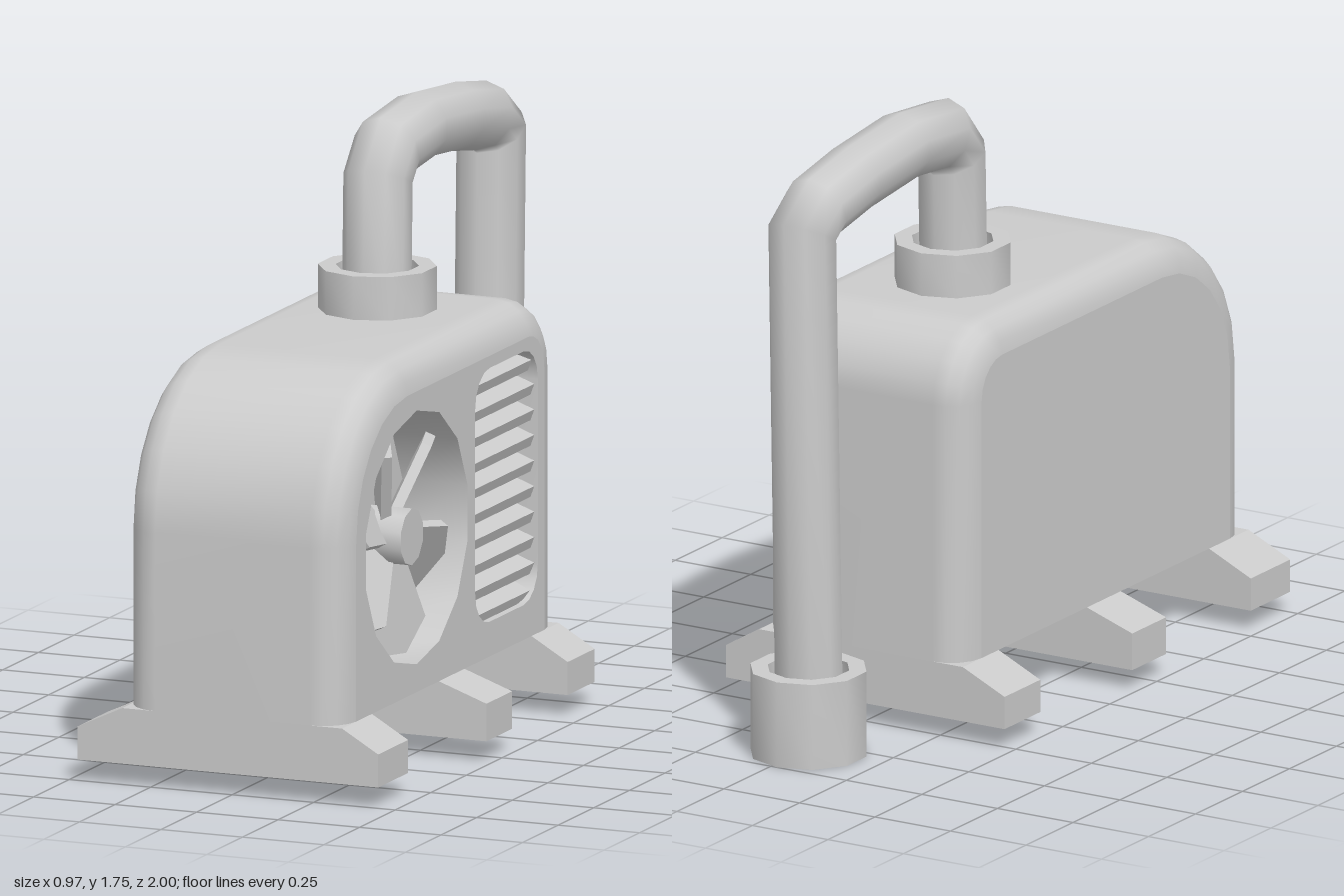
import * as THREE from 'three';
import { toCreasedNormals } from 'three/addons/utils/BufferGeometryUtils.js';

const W = 0.337;        // half width of the housing
const BEVEL = 0.1;
const BASE = 0.22;      // underside of the housing
const mat = new THREE.MeshStandardMaterial({ color: 0xcccccc });
const matDouble = new THREE.MeshStandardMaterial({ color: 0xcccccc, side: THREE.DoubleSide });

function add(parent, name, geometry, material = mat) {
  const mesh = new THREE.Mesh(geometry, material);
  mesh.name = name;
  parent.add(mesh);
  return mesh;
}

// Elliptical arc as 2D points, angles in degrees
function arc(cx, cy, rx, ry, from, to, n) {
  return Array.from({ length: n + 1 }, (_, i) => {
    const a = THREE.MathUtils.degToRad(from + (to - from) * i / n);
    return new THREE.Vector2(cx + rx * Math.cos(a), cy + ry * Math.sin(a));
  });
}

// Skin over a list of rings of Vector3
function loft(rings, closed) {
  const n = rings[0].length, index = [];
  for (let i = 0; i < rings.length - 1; i++) {
    for (let j = 0; j < (closed ? n : n - 1); j++) {
      const k = (j + 1) % n;
      const a = i * n + j, b = i * n + k, c = b + n, d = a + n;
      index.push(a, b, d, b, c, d);
    }
  }
  const g = new THREE.BufferGeometry().setFromPoints(rings.flat());
  g.setIndex(index);
  g.computeVertexNormals();
  return g;
}

// Side outline of the housing in (z, y), inset by d
function outline(d) {
  return [
    new THREE.Vector2(1 - d, BASE),
    ...arc(0.54, 0.73, 0.46 - d, 0.455 - d, 0, 90, 6),
    ...arc(-0.31, 0.975, 0.21 - d, 0.21 - d, 90, 180, 5),
    new THREE.Vector2(-0.52 + d, BASE),
  ];
}

function addHousing(group) {
  const housing = new THREE.Group();
  housing.name = 'housing';
  group.add(housing);

  // Rounded shell from the left side over to the right side
  const half = [0, 1, 2, 3, 4].map(i => {
    const a = i / 4 * Math.PI / 2;
    return [W - BEVEL + BEVEL * Math.cos(a), BEVEL * (1 - Math.sin(a))];
  });
  const steps = [...half, ...half.map(([x, d]) => [-x, d]).reverse()];
  const rings = steps.map(([x, d]) => outline(d).map(p => new THREE.Vector3(x, p.y, p.x)));
  add(housing, 'shell', loft(rings, false));

  // Underside
  const under = new THREE.Shape();
  steps.forEach(([x, d]) => under.lineTo(x, 1 - d));
  [...steps].reverse().forEach(([x, d]) => under.lineTo(x, -0.52 + d));
  under.curves.shift();
  add(housing, 'underside', new THREE.ShapeGeometry(under).rotateX(Math.PI / 2).translate(0, BASE, 0));

  // Plain side
  add(housing, 'plainSide',
    new THREE.ShapeGeometry(new THREE.Shape(outline(BEVEL))).rotateY(-Math.PI / 2).translate(-W, 0, 0));

  // Side with fan and vent: local x runs backwards, local z points outwards
  const side = new THREE.Group();
  side.name = 'machineSide';
  side.rotation.y = Math.PI / 2;
  side.position.x = W;
  housing.add(side);
  const fanHole = arc(-0.475, 0.665, 0.365, 0.365, 90, 450, 14).slice(0, -1);
  const r = 0.1, u0 = -0.065, u1 = 0.375, y0 = 0.32, y1 = 1.05;
  const ventHole = [
    ...arc(u1 - r, y0 + r, r, r, -90, 0, 4), ...arc(u1 - r, y1 - r, r, r, 0, 90, 4),
    ...arc(u0 + r, y1 - r, r, r, 90, 180, 4), ...arc(u0 + r, y0 + r, r, r, 180, 270, 4),
  ];
  const face = new THREE.Shape(outline(BEVEL).map(p => new THREE.Vector2(-p.x, p.y)));
  face.holes.push(new THREE.Path(fanHole), new THREE.Path(ventHole));
  add(side, 'sidePanel', new THREE.ShapeGeometry(face));
  addRecess(side, 'fanRecess', fanHole, 0.2);
  addRecess(side, 'ventRecess', ventHole, 0.09);
  addFan(side);

  // Louvre slats
  for (let i = 0; i < 10; i++) {
    const slat = add(side, 'ventSlat', new THREE.BoxGeometry(u1 - u0 + 0.01, 0.034, 0.06));
    slat.position.set((u0 + u1) / 2, 0.342 + i * 0.0735, -0.045);
    slat.rotation.x = 0.35;
    if (i === 0 || i === 9) slat.scale.x = 0.9;
  }
}

function addRecess(parent, name, points, depth) {
  const ring = z => points.map(p => new THREE.Vector3(p.x, p.y, z));
  add(parent, name + 'Wall', loft([ring(0), ring(-depth)], true), matDouble);
  add(parent, name + 'Floor', new THREE.ShapeGeometry(new THREE.Shape(points)).translate(0, 0, -depth));
}

function addFan(parent) {
  const fan = new THREE.Group();
  fan.name = 'fan';
  fan.position.set(-0.475, 0.665, -0.1);
  parent.add(fan);
  const hub = new THREE.CylinderGeometry(0.082, 0.082, 0.17, 10).rotateX(Math.PI / 2);
  add(fan, 'fanHub', toCreasedNormals(hub, 0.7));

  // Pitched blades that widen towards the rim
  const blade = new THREE.Shape([[0.05, -0.05], [0.2, -0.12], [0.345, -0.09], [0.355, 0.05], [0.26, 0.12], [0.05, 0.05]]
    .map(([x, y]) => new THREE.Vector2(x, y)));
  const geometry = new THREE.ExtrudeGeometry(blade, { depth: 0.03, bevelEnabled: false })
    .translate(0, 0, -0.015).rotateX(0.55);
  for (let i = 0; i < 6; i++) {
    add(fan, 'fanBlade', geometry).rotation.z = THREE.MathUtils.degToRad(95 + 60 * i);
  }
}

// Cross beam with sloped ends, flush with the housing sides
function addFoot(group, name, left, right, shoulder, z0, z1) {
  const shape = new THREE.Shape([[left, 0.06], [right, 0.06], [right, shoulder], [W, BASE], [-W, BASE], [left, shoulder]]
    .map(([x, y]) => new THREE.Vector2(x, y)));
  add(group, name, new THREE.ExtrudeGeometry(shape, { depth: z1 - z0, bevelEnabled: false }).translate(0, 0, z0));
}

// Ten-sided sleeve with a socket for the pipe
function addCollar(group, name, z, y0, y1) {
  const profile = [[0, y0], [0.168, y0], [0.168, y1], [0.118, y1], [0.118, y1 - 0.07], [0, y1 - 0.07]]
    .map(([x, y]) => new THREE.Vector2(x, y));
  const collar = add(group, name, toCreasedNormals(new THREE.LatheGeometry(profile, 10), 0.7));
  collar.position.set(-0.02, 0, z);
}

// Bent pipe with mitred joints, path given as (z, y)
function addPipe(group) {
  const path = [[-0.06, 1.2], [-0.07, 1.56], [-0.135, 1.635], [-0.34, 1.655], [-0.6, 1.63],
    [-0.79, 1.595], [-0.865, 1.54], [-0.83, 0.17]].map(([z, y]) => new THREE.Vector2(z, y));
  const rings = path.map((p, i) => {
    const before = p.clone().sub(path[Math.max(i - 1, 0)]).normalize();
    const after = path[Math.min(i + 1, path.length - 1)].clone().sub(p).normalize();
    const t = before.clone().add(after).normalize();
    const r = 0.098, mitre = r / Math.max(t.dot(before), t.dot(after));
    return Array.from({ length: 10 }, (_, j) => {
      const a = Math.PI / 2 + j * Math.PI / 5;
      const s = Math.sin(a) * mitre;
      return new THREE.Vector3(-0.02 + r * Math.cos(a), p.y + s * t.x, p.x - s * t.y);
    });
  });
  add(group, 'pipe', loft(rings, true));
}

export function createModel() {
  const group = new THREE.Group();
  group.name = 'pumpUnit';
  addHousing(group);
  addFoot(group, 'frontFoot', -0.475, 0.448, 0.155, 0.79, 1);
  addFoot(group, 'middleFoot', -0.487, 0.483, 0.168, 0.14, 0.32);
  addFoot(group, 'backFoot', -0.475, 0.448, 0.155, -0.52, -0.33);
  addCollar(group, 'topCollar', -0.065, 1.17, 1.31);
  addCollar(group, 'lowerCollar', -0.832, 0, 0.25);
  addPipe(group);
  return group;
}
